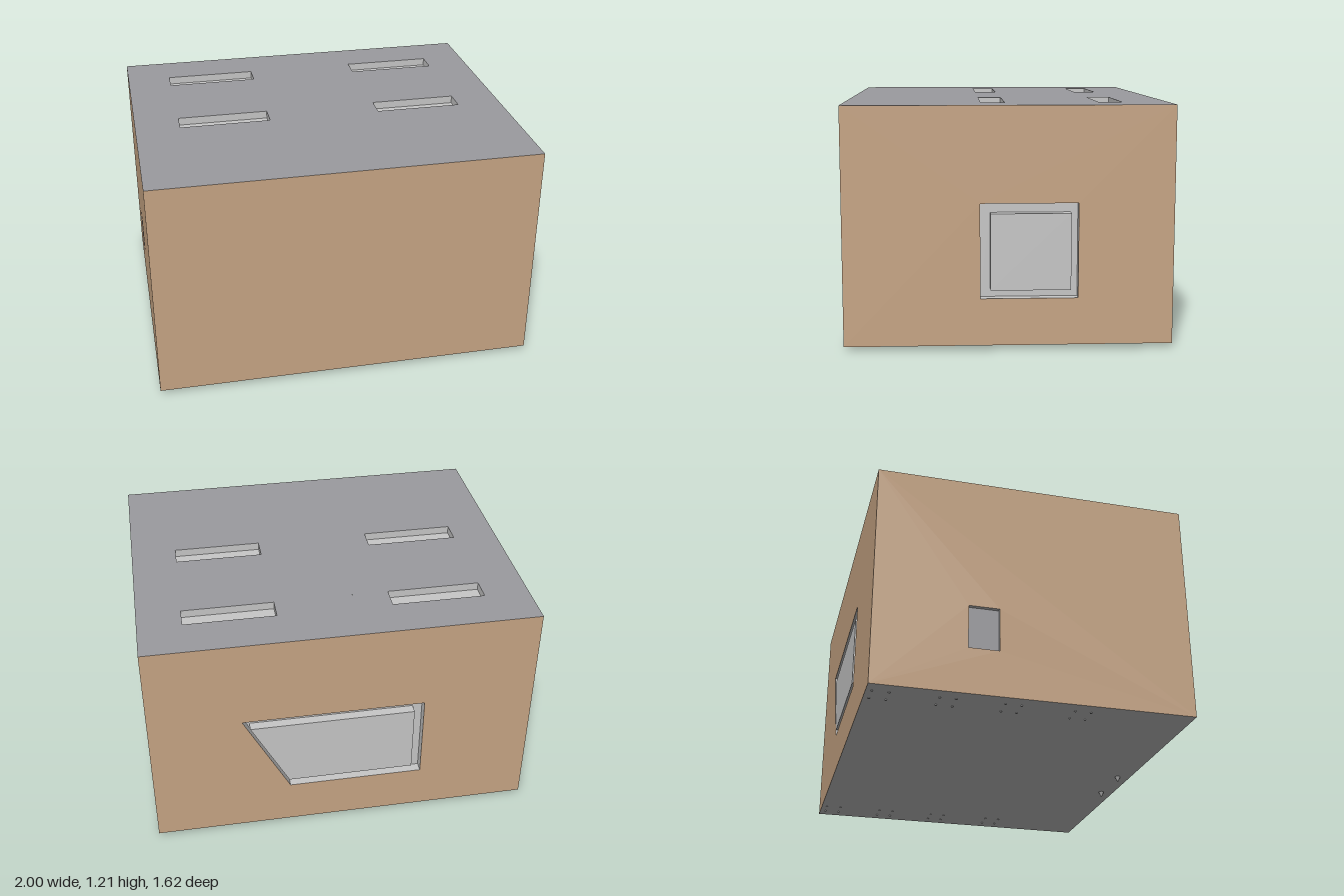
import * as THREE from 'three';

const mat = (name, color) => {
  const m = new THREE.MeshStandardMaterial({ color });
  m.name = name;
  return m;
};

const X = 1, Z = 0.81, BASE = 0.025, TOP = 1.205;
const rect = (x0, y0, x1, y1) => [[x0, y0], [x1, y0], [x1, y1], [x0, y1]];
const toPoints = (pts) => pts.map(([x, y]) => new THREE.Vector2(x, y));

// Flat outline with optional holes, facing local +z
function plate(name, outline, holes, material, z = 0) {
  const shape = new THREE.Shape(toPoints(outline));
  holes.forEach((h) => shape.holes.push(new THREE.Path(toPoints(h))));
  const mesh = new THREE.Mesh(new THREE.ShapeGeometry(shape), material);
  mesh.name = name;
  mesh.position.z = z;
  return mesh;
}

// Strip of walls from z = 0 to z = -depth; faces inward for a counter-clockwise outline
function lining(name, pts, depth, material) {
  const v = [];
  pts.forEach(([ax, ay], i) => {
    const [bx, by] = pts[(i + 1) % pts.length];
    v.push(ax, ay, 0, bx, by, 0, bx, by, -depth, ax, ay, 0, bx, by, -depth, ax, ay, -depth);
  });
  const geo = new THREE.BufferGeometry();
  geo.setAttribute('position', new THREE.Float32BufferAttribute(v, 3));
  geo.computeVertexNormals();
  const mesh = new THREE.Mesh(geo, material);
  mesh.name = name;
  return mesh;
}

// Recess in a face, optionally with a raised pane standing in it
function recess(name, outer, depth, wallMat, backMat, pane) {
  const g = new THREE.Group();
  g.name = name;
  g.add(lining(name + 'Lining', outer, depth, wallMat));
  g.add(plate(name + 'Back', outer, pane ? [pane] : [], backMat, -depth));
  if (pane) {
    g.add(lining(name + 'PaneSides', [...pane].reverse(), depth, wallMat));
    g.add(plate(name + 'Pane', pane, [], wallMat));
  }
  return g;
}

export function createModel() {
  const model = new THREE.Group();
  model.name = 'building';
  const tan = mat('tanWall', 0xc8a685);
  const roofGrey = mat('roofGrey', 0x9b9b9f);
  const light = mat('lightGrey', 0xc8c8c8);

  // One side of the building in its own local frame
  const side = (name, outline, material, position, rotation, recesses = []) => {
    const g = new THREE.Group();
    g.name = name;
    g.position.set(...position);
    g.rotation.set(...rotation);
    g.add(plate(name + 'Surface', outline, recesses.map((r) => r.outer), material));
    recesses.forEach((r) => g.add(
      recess(r.name, r.outer, r.depth, light, r.back || light, r.pane)));
    model.add(g);
  };

  // Walls
  const longWall = rect(-X, BASE, X, TOP);
  const shortWall = rect(-Z, BASE, Z, TOP);
  side('frontWall', longWall, tan, [0, 0, Z], [0, 0, 0]);
  side('backWall', longWall, tan, [0, 0, -Z], [0, Math.PI, 0], [{
    name: 'slantedWindow', depth: 0.05,
    outer: [[-0.285, 0.265], [0.42, 0.265], [0.42, 0.73], [-0.525, 0.73]],
    pane: [[-0.29, 0.305], [0.37, 0.305], [0.37, 0.68], [-0.485, 0.68]],
  }]);
  side('leftWall', shortWall, tan, [X, 0, 0], [0, Math.PI / 2, 0], [{
    name: 'squareWindow', depth: 0.05,
    outer: rect(-0.14, 0.26, 0.34, 0.73),
    pane: rect(-0.09, 0.3, 0.305, 0.68),
  }]);
  side('rightWall', shortWall, tan, [-X, 0, 0], [0, -Math.PI / 2, 0], [{
    name: 'smallWindow', depth: 0.02, back: roofGrey,
    outer: rect(-0.34, 0.265, -0.185, 0.492),
  }]);

  // Roof with four sunken skylights
  const skylights = [
    rect(-0.765, 0.46, -0.285, 0.58), rect(0.305, 0.46, 0.775, 0.58),
    rect(-0.765, -0.13, -0.285, -0.01), rect(0.31, -0.13, 0.765, -0.01),
  ].map((outer) => ({ name: 'skylight', depth: 0.04, outer }));
  side('roof', rect(-X, -Z, X, Z), roofGrey, [0, TOP, 0], [-Math.PI / 2, 0, 0], skylights);
  side('floor', rect(-X, -Z, X, Z), light, [0, BASE, 0], [Math.PI / 2, 0, 0]);

  // Two small pegs under the front edge
  for (const x of [-0.09, 0.18]) {
    const peg = new THREE.Mesh(new THREE.CylinderGeometry(0.016, 0.005, BASE, 8), light);
    peg.name = 'peg';
    peg.position.set(x, BASE / 2, 0.74);
    model.add(peg);
  }

  // Screw heads in groups of four along both lower edges
  const screwGeo = new THREE.CylinderGeometry(0.006, 0.006, 0.004, 8);
  for (const s of [-1, 1]) for (const z of [0.25, -0.1, -0.42, -0.74]) {
    for (const dx of [-0.045, 0.045]) for (const dz of [-0.04, 0.04]) {
      const screw = new THREE.Mesh(screwGeo, light);
      screw.name = 'screwHead';
      screw.position.set(s * 0.88 + dx, BASE - 0.002, z + dz);
      model.add(screw);
    }
  }
  return model;
}
